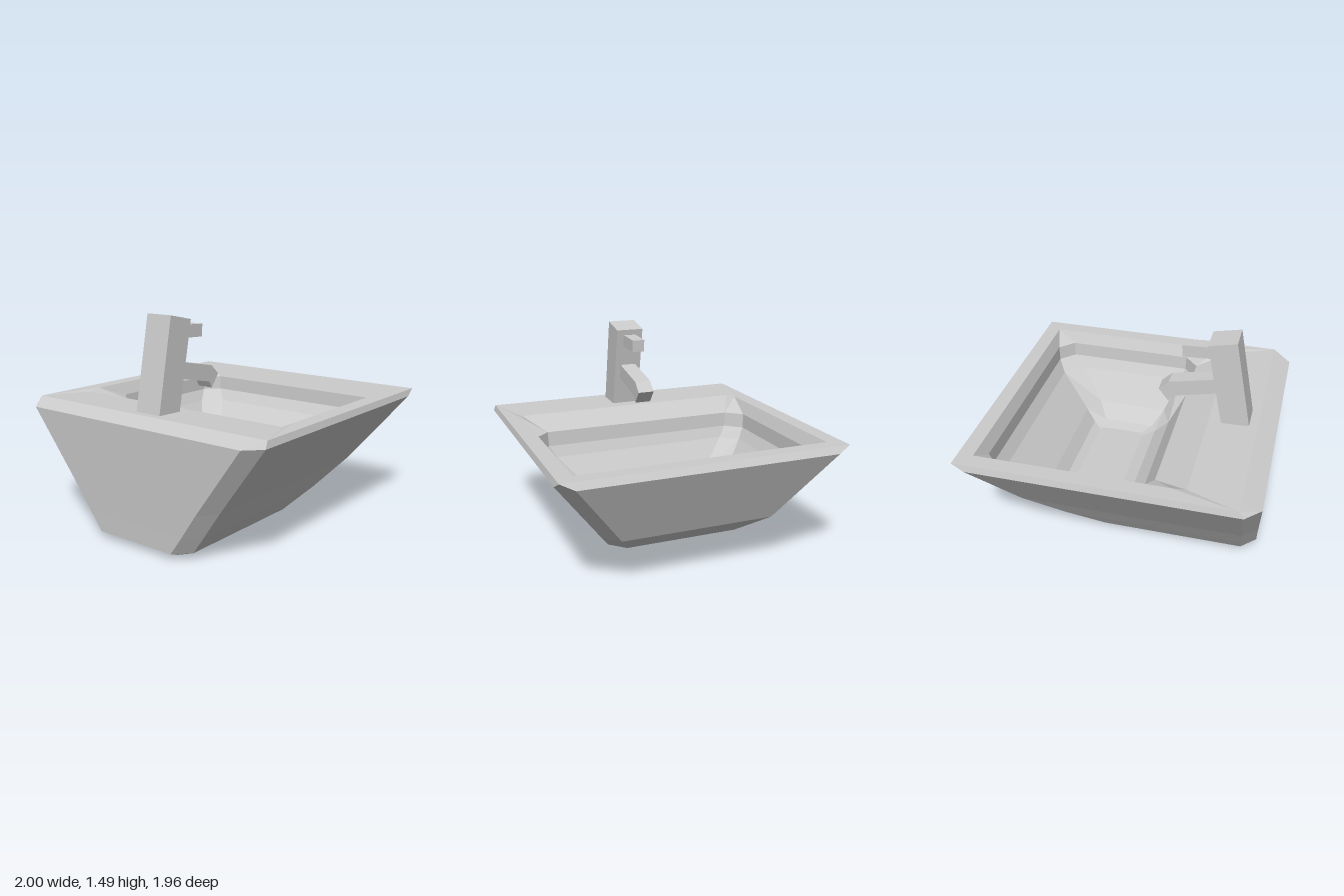
import * as THREE from 'three';

const material = new THREE.MeshStandardMaterial({ color: 0xcccccc, flatShading: true });

// Full loop of eight corners from the four on the +z side (back to front).
const ring = (half) => [...half, ...[...half].reverse().map(([x, y, z]) => [x, y, -z])];

// Level loop with cut corners: back edge, two side corners, front edge.
const level = (y, xBack, zBack, xSideBack, zSide, xSideFront, xFront, zFront) =>
  ring([[xBack, y, zBack], [xSideBack, y, zSide], [xSideFront, y, zSide], [xFront, y, zFront]]);

const centre = (x, y) => ring(Array(4).fill([x, y, 0]));

// Joins successive loops with flat triangles (mirrored in z), leaving out collapsed ones.
function loft(rings) {
  const positions = [];
  const same = (p, q) => p.every((v, i) => Math.abs(v - q[i]) < 1e-6);
  const triangle = (a, b, c) => {
    if (!same(a, b) && !same(b, c) && !same(c, a)) positions.push(...a, ...b, ...c);
  };
  for (let r = 0; r < rings.length - 1; r++) {
    const low = rings[r], high = rings[r + 1];
    for (let i = 0; i < low.length; i++) {
      const j = (i + 1) % low.length;
      const mirrored = i >= low.length / 2;
      triangle(low[i], low[j], mirrored ? high[j] : high[i]);
      triangle(mirrored ? low[i] : low[j], high[j], high[i]);
    }
  }
  const geometry = new THREE.BufferGeometry();
  geometry.setAttribute('position', new THREE.Float32BufferAttribute(positions, 3));
  geometry.computeVertexNormals();
  return geometry;
}

// Side outline in x and y, given a thickness centred on z = 0.
function slab(outline, width) {
  const shape = new THREE.Shape(outline.map(([x, y]) => new THREE.Vector2(x, y)));
  return new THREE.ExtrudeGeometry(shape, { depth: width, bevelEnabled: false })
    .translate(0, 0, -width / 2);
}

export function createModel() {
  const group = new THREE.Group();
  const add = (name, geometry) => {
    const mesh = new THREE.Mesh(geometry, material);
    mesh.name = name;
    group.add(mesh);
  };

  // Sink body: underside, outer walls, rim, then down into the bowl
  add('sinkBody', loft([
    centre(-0.4, 0),
    level(0, -0.86, 0.28, -0.86, 0.28, 0.07, 0.07, 0.28),
    level(0.045, -0.96, 0.31, -0.86, 0.41, 0.13, 0.23, 0.31),
    level(0.17, -0.965, 0.4, -0.865, 0.5, 0.4, 0.5, 0.4),
    level(0.355, -0.975, 0.53, -0.875, 0.63, 0.67, 0.77, 0.53),
    level(0.825, -1, 0.88, -0.9, 0.98, 0.89, 1, 0.88),
    // rim edge, then the tap deck easing down to the opening
    level(0.87, -0.87, 0.97, -0.87, 0.97, 0.975, 0.975, 0.97),
    ring([[-0.53, 0.859, 0.84], [-0.43, 0.87, 0.86], [0.87, 0.87, 0.86], [0.87, 0.87, 0.86]]),
    // bowl: upright band, sloping walls, shallow floor
    level(0.785, -0.3, 0.71, -0.2, 0.82, 0.73, 0.83, 0.72),
    level(0.68, -0.295, 0.705, -0.195, 0.815, 0.725, 0.825, 0.715),
    level(0.6, -0.265, 0.655, -0.165, 0.77, 0.64, 0.77, 0.65),
    level(0.39, -0.14, 0.46, -0.07, 0.62, 0.46, 0.53, 0.48),
    level(0.31, -0.04, 0.43, 0, 0.49, 0.38, 0.46, 0.44),
    level(0.285, 0.05, 0.38, 0.07, 0.41, 0.37, 0.4, 0.38),
    centre(0.22, 0.285),
  ]));

  // Tap
  add('tapColumn', slab([[-0.825, 0.8], [-0.632, 0.8], [-0.5, 1.45], [-0.69, 1.49]], 0.2));
  add('tapSpout', slab([[-0.6, 1.075], [-0.265, 1.0], [-0.24, 0.955], [-0.17, 1.045],
    [-0.24, 1.11], [-0.58, 1.18]], 0.116));
  add('tapHandle', slab([[-0.54, 1.325], [-0.325, 1.315], [-0.32, 1.4], [-0.52, 1.41]], 0.09));

  return group;
}
